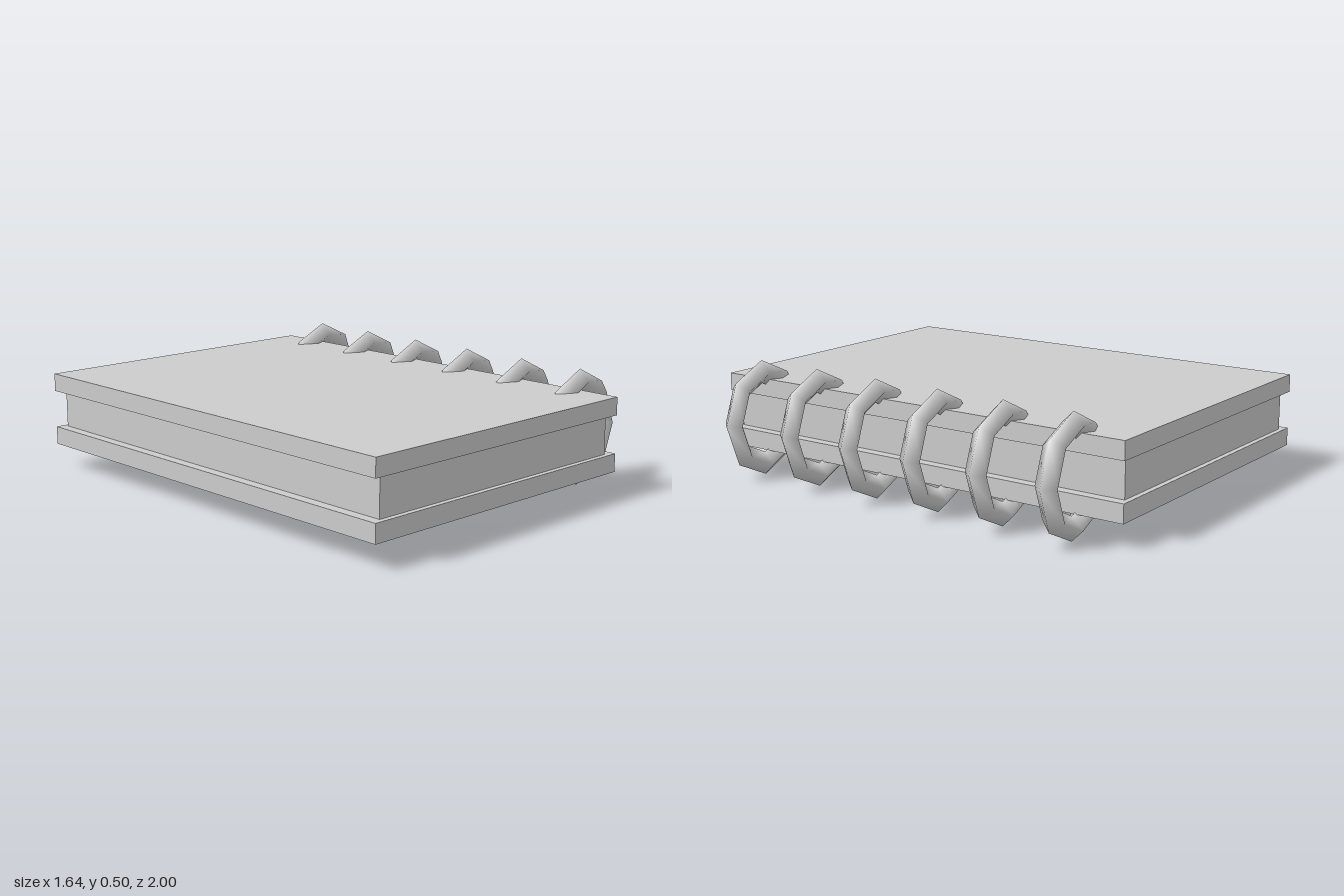
import * as THREE from 'three';

export function createModel() {
  const book = new THREE.Group();
  book.name = 'ringBinder';
  const grey = new THREE.MeshStandardMaterial({ color: 0xcccccc });
  grey.name = 'plain grey';

  // Box given by its extents in x and y and its depth in z
  const slab = (name, x0, x1, y0, y1, depth) => {
    const mesh = new THREE.Mesh(new THREE.BoxGeometry(x1 - x0, y1 - y0, depth), grey);
    mesh.position.set((x0 + x1) / 2, (y0 + y1) / 2, 0);
    mesh.name = name;
    book.add(mesh);
  };

  // Covers and the inset block of pages
  slab('bottomCover', -0.818, 0.578, 0.102, 0.18, 2);
  slab('topCover', -0.818, 0.578, 0.342, 0.419, 2);
  slab('pages', -0.775, 0.534, 0.18, 0.342, 1.955);

  // Six faceted binding rings, diamond in section, evenly spaced along the spine
  const ringGeometry = new THREE.TorusGeometry(0.202, 0.05, 4, 8);
  ringGeometry.scale(0.872, 1, 1);
  for (let i = 0; i < 6; i++) {
    const ring = new THREE.Mesh(ringGeometry, grey);
    ring.position.set(0.598, 0.252, (i - 2.5) * 0.316);
    ring.name = `bindingRing${i + 1}`;
    book.add(ring);
  }
  return book;
}
